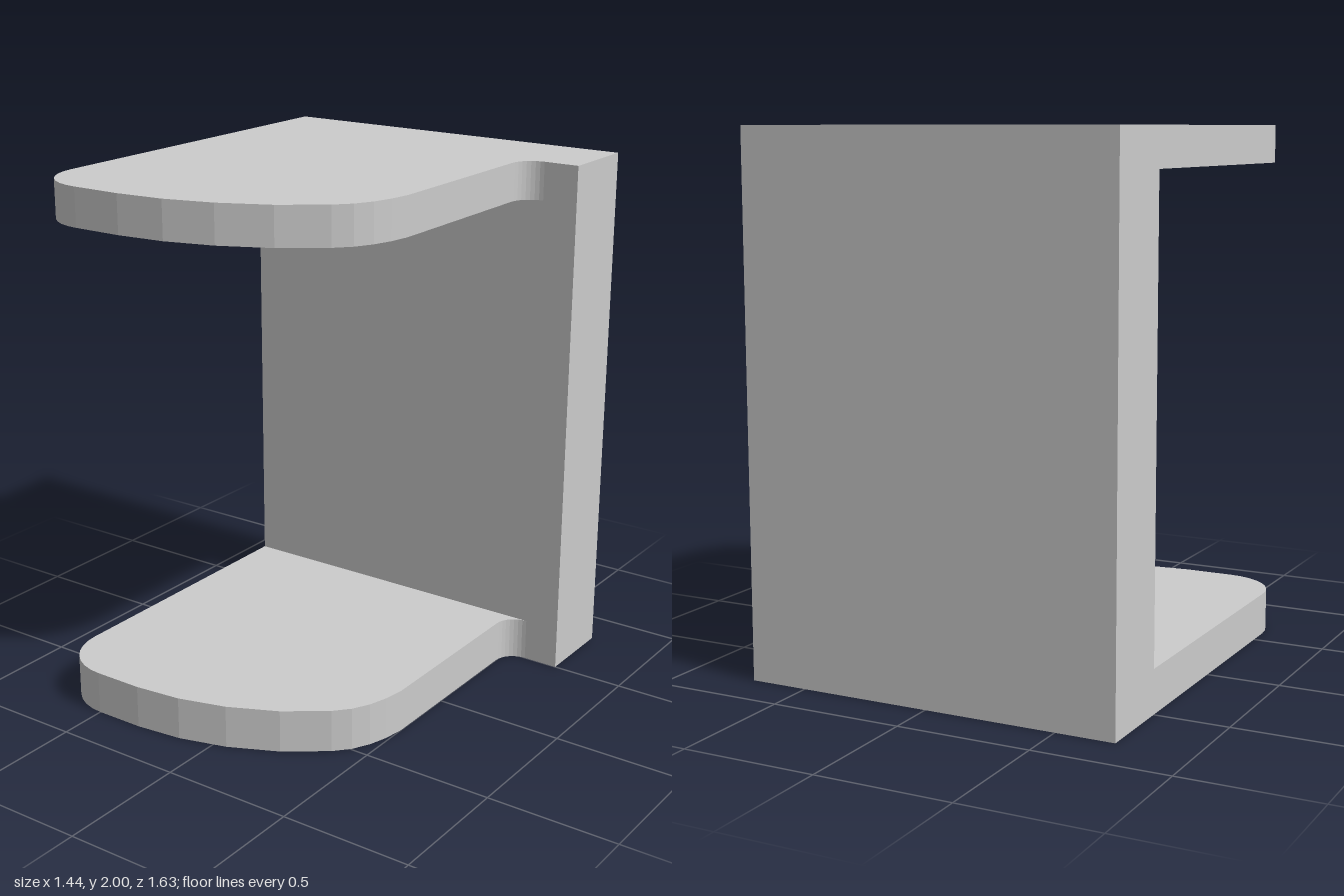
import * as THREE from 'three';

const material = new THREE.MeshStandardMaterial({ color: 0xcccccc, flatShading: true });

const W = 0.722;       // half width
const BACK = -0.816;   // rear face of the wall
const STEP = -0.5;     // front face of the wall
const FRONT = 0.814;   // foremost edge of the flanges

// Points of an arc in plan (x, z), angles in degrees
function arc(cx, cz, r, from, to, steps) {
  return Array.from({ length: steps + 1 }, (_, i) => {
    const a = THREE.MathUtils.degToRad(from + ((to - from) * i) / steps);
    return [cx + r * Math.cos(a), cz + r * Math.sin(a)];
  });
}

// Flange outline: inner fillet, straight side, rounded nose, rounded corner
function flangeGeometry(thickness) {
  const fillet = 0.085;
  const plan = [
    [-W, STEP],
    ...arc(0.5 + fillet, STEP + fillet, fillet, 270, 180, 8),
    [0.5, 0.28], [0.487, 0.36], [0.465, 0.43], [0.43, 0.495], [0.38, 0.55],
    [0.23, 0.66], [0.05, 0.745], [-0.13, 0.795], [-0.31, FRONT],
    ...arc(-W + 0.22, FRONT - 0.22, 0.22, 90, 180, 8),
  ];
  const shape = new THREE.Shape(plan.map(([x, z]) => new THREE.Vector2(x, -z)));
  const geometry = new THREE.ExtrudeGeometry(shape, { depth: thickness, bevelEnabled: false });
  return geometry.rotateX(-Math.PI / 2);
}

export function createModel() {
  const group = new THREE.Group();
  group.name = 'bracket';

  // Thick upright wall at the back
  const wall = new THREE.Mesh(new THREE.BoxGeometry(2 * W, 2, STEP - BACK), material);
  wall.name = 'backWall';
  wall.position.set(0, 1, (STEP + BACK) / 2);
  group.add(wall);

  // Matching flanges at the bottom and top
  for (const [name, y, thickness] of [['lowerFlange', 0, 0.163], ['upperFlange', 1.857, 0.143]]) {
    const flange = new THREE.Mesh(flangeGeometry(thickness), material);
    flange.name = name;
    flange.position.y = y;
    group.add(flange);
  }
  return group;
}
